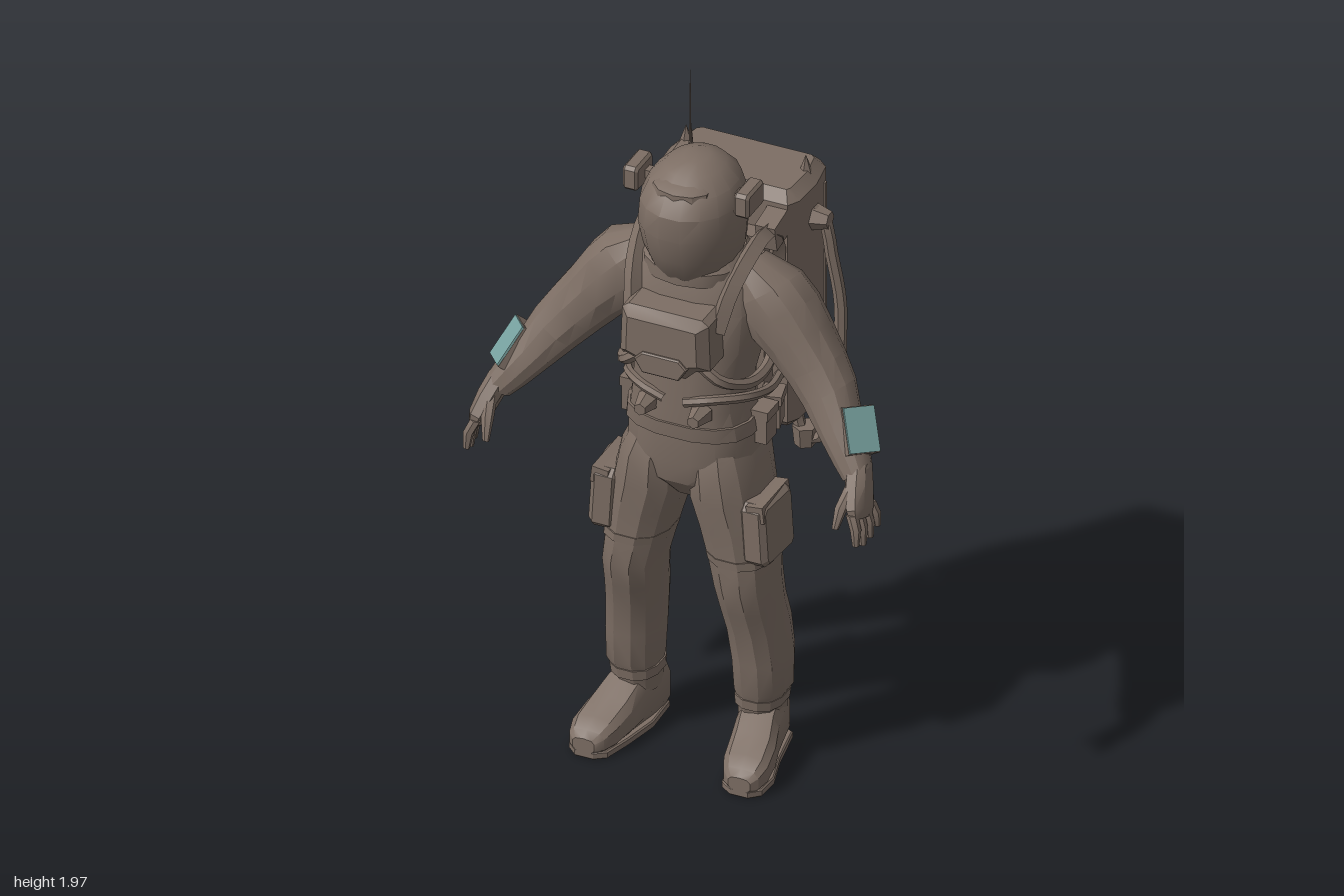
import * as THREE from 'three';
import { toCreasedNormals } from 'three/addons/utils/BufferGeometryUtils.js';

const V = (x, y, z) => new THREE.Vector3(x, y, z);
const UP = V(0, 1, 0), FRONT = V(0, 0, 1);

// Skin over rings [x, y, z, halfWidth, halfDepth] lying across one axis; power < 1 makes rings boxier
function loft(rings, axis = UP, ref = FRONT, sides = 12, power = 0.8) {
  const a = axis.clone().normalize();
  const v = ref.clone().addScaledVector(a, -ref.dot(a)).normalize();
  const u = v.clone().cross(a);
  const pos = [], idx = [];
  const sp = (t) => Math.sign(t) * Math.pow(Math.abs(t), power);
  for (const [x, y, z, w, d] of rings) {
    for (let j = 0; j < sides; j++) {
      const t = ((j + 0.5) / sides) * Math.PI * 2;
      const p = V(x, y, z).addScaledVector(u, w * sp(Math.cos(t))).addScaledVector(v, d * sp(Math.sin(t)));
      pos.push(p.x, p.y, p.z);
    }
  }
  const n = rings.length;
  for (let i = 0; i < n - 1; i++) {
    for (let j = 0; j < sides; j++) {
      const k = (j + 1) % sides, r = i * sides, s = r + sides;
      idx.push(r + j, r + k, s + k, r + j, s + k, s + j);
    }
  }
  // end caps
  for (const [i, flip] of [[0, true], [n - 1, false]]) {
    const c = pos.length / 3, r = i * sides;
    pos.push(rings[i][0], rings[i][1], rings[i][2]);
    for (let j = 0; j < sides; j++) {
      const k = (j + 1) % sides;
      idx.push(c, r + (flip ? k : j), r + (flip ? j : k));
    }
  }
  const g = new THREE.BufferGeometry();
  g.setAttribute('position', new THREE.Float32BufferAttribute(pos, 3));
  g.setIndex(idx);
  return g;
}

const box = (w, h, d, x, y, z, rx = 0, ry = 0, rz = 0) =>
  new THREE.BoxGeometry(w, h, d).rotateX(rx).rotateY(ry).rotateZ(rz).translate(x, y, z);
const cone = (r, h, x, y, z, sides = 5) => new THREE.ConeGeometry(r, h, sides).translate(x, y + h / 2, z);
const tube = (pts, r, seg = 14, sides = 6) =>
  new THREE.TubeGeometry(new THREE.CatmullRomCurve3(pts.map((p) => V(...p))), seg, r, sides);

// Faceted chamfered plate: outline in x/y, front at z = depth
function plate(points, depth, bevel) {
  const s = new THREE.Shape(points.map((p) => new THREE.Vector2(...p)));
  return new THREE.ExtrudeGeometry(s, { depth, bevelThickness: bevel, bevelSize: bevel, bevelOffset: -bevel, bevelSegments: 1 });
}
const chamfered = (w, h, c) => [
  [-w + c, -h], [w - c, -h], [w, -h + c], [w, h - c], [w - c, h], [-w + c, h], [-w, h - c], [-w, -h + c]];

export function createModel() {
  const group = new THREE.Group();
  const suit = new THREE.MeshStandardMaterial({ color: 0x7d6e64 });
  suit.name = 'suit taupe';
  const teal = new THREE.MeshStandardMaterial({ color: 0x78a2a0 });
  teal.name = 'screen teal';

  function add(name, geo, mat = suit) {
    const m = new THREE.Mesh(toCreasedNormals(geo, 0.5), mat);
    m.name = name;
    group.add(m);
  }
  // Left part as given, right part mirrored with its corners reordered
  function pair(name, geo, mat = suit) {
    const l = geo.index ? geo.toNonIndexed() : geo;
    const r = l.clone().scale(-1, 1, 1);
    for (const attr of Object.values(r.attributes)) {
      const n = attr.itemSize, a = attr.array;
      for (let i = 0; i < a.length; i += 3 * n) {
        for (let k = 0; k < n; k++) [a[i + n + k], a[i + 2 * n + k]] = [a[i + 2 * n + k], a[i + n + k]];
      }
    }
    add(name + 'Left', l, mat);
    add(name + 'Right', r, mat);
  }

  // Helmet, brow ridge and side lamps
  add('helmet', loft([
    [0, 1.50, 0.08, 0.10, 0.09], [0, 1.55, 0.09, 0.115, 0.13], [0, 1.62, 0.10, 0.138, 0.152],
    [0, 1.70, 0.11, 0.148, 0.163], [0, 1.77, 0.11, 0.142, 0.160], [0, 1.82, 0.10, 0.122, 0.138],
    [0, 1.86, 0.095, 0.082, 0.095], [0, 1.88, 0.09, 0.035, 0.045]], UP, FRONT, 16, 0.95));
  add('brow', loft([[0, 1.808, 0.19, 0.088, 0.05], [0, 1.83, 0.18, 0.085, 0.06], [0, 1.845, 0.17, 0.06, 0.04]], UP, FRONT, 10, 1));
  pair('lamp', plate(chamfered(0.054, 0.038, 0.010), 0.03, 0.008).rotateY(Math.PI / 2).translate(0.152, 1.795, 0.112));
  pair('lampArm', box(0.03, 0.025, 0.03, 0.14, 1.79, 0.10));

  // Torso and collar
  add('torso', loft([
    [0, 0.83, 0.10, 0.05, 0.07], [0, 0.90, 0.10, 0.14, 0.130], [0, 0.97, 0.095, 0.188, 0.147],
    [0, 1.06, 0.095, 0.185, 0.142], [0, 1.14, 0.105, 0.17, 0.135], [0, 1.22, 0.10, 0.168, 0.132],
    [0, 1.33, 0.095, 0.195, 0.138], [0, 1.45, 0.09, 0.205, 0.140], [0, 1.54, 0.075, 0.18, 0.125],
    [0, 1.60, 0.075, 0.13, 0.11]], UP, FRONT, 16));
  add('collar', loft([[0, 1.53, 0.08, 0.15, 0.14], [0, 1.57, 0.08, 0.15, 0.14], [0, 1.60, 0.08, 0.125, 0.12]], UP, FRONT, 14, 0.9));

  // Chest control box with a stepped lower edge
  add('chestBox', plate([[-0.135, 1.33], [-0.09, 1.315], [-0.06, 1.285], [0.06, 1.285], [0.09, 1.315],
    [0.135, 1.33], [0.13, 1.47], [0.11, 1.485], [-0.11, 1.485], [-0.13, 1.47]], 0.085, 0.028).translate(0, 0, 0.205));
  add('chestPanel', plate([[-0.08, 1.335], [-0.055, 1.36], [0.055, 1.36], [0.08, 1.335], [0.055, 1.295], [-0.055, 1.295]], 0.010, 0.004)
    .translate(0, 0, 0.312));

  // Shoulder straps, waist hoses, front knobs and belt gear
  const strap = [[0.16, 1.40, -0.05], [0.17, 1.56, -0.06], [0.168, 1.62, 0.0], [0.162, 1.60, 0.09], [0.145, 1.53, 0.18], [0.125, 1.42, 0.23]];
  pair('strap', tube(strap, 0.027, 12, 4));
  pair('strapAnchor', box(0.06, 0.08, 0.10, 0.165, 1.61, -0.05, 0.2));
  pair('waistHose', tube([[0.09, 1.31, 0.25], [0.14, 1.27, 0.24], [0.185, 1.23, 0.16], [0.19, 1.22, 0.05], [0.17, 1.25, -0.06]], 0.017));
  pair('lowerHose', tube([[0.03, 1.17, 0.235], [0.1, 1.19, 0.228], [0.175, 1.18, 0.155], [0.19, 1.14, 0.03], [0.17, 1.12, -0.08]], 0.014));
  pair('frontKnob', new THREE.CylinderGeometry(0.018, 0.034, 0.06, 6).rotateX(Math.PI / 2).translate(0.08, 1.145, 0.255));
  add('belt', loft([[0, 1.05, 0.095, 0.192, 0.147], [0, 1.095, 0.10, 0.186, 0.145]], UP, FRONT, 16));
  for (const [i, z] of [-0.005, 0.075].entries()) {
    pair('beltPouch' + (i + 1), box(0.055, 0.10, 0.066, 0.19 - (i ? 0 : 0.008), 1.06, z, 0, i ? 0 : 0.25));
    pair('beltPouchFlap' + (i + 1), box(0.062, 0.028, 0.072, 0.192 - (i ? 0 : 0.008), 1.10, z, 0, i ? 0 : 0.25));
  }

  // Legs
  pair('leg', loft([
    [0.185, 0.12, 0.06, 0.062, 0.078], [0.188, 0.19, 0.065, 0.066, 0.082], [0.192, 0.22, 0.068, 0.078, 0.092],
    [0.190, 0.32, 0.068, 0.081, 0.100], [0.182, 0.42, 0.078, 0.081, 0.106], [0.174, 0.50, 0.100, 0.082, 0.108],
    [0.168, 0.58, 0.116, 0.086, 0.115], [0.155, 0.66, 0.110, 0.093, 0.118], [0.137, 0.76, 0.106, 0.103, 0.126],
    [0.115, 0.85, 0.100, 0.109, 0.140], [0.105, 0.95, 0.094, 0.097, 0.147], [0.09, 1.02, 0.095, 0.08, 0.12]], UP, FRONT, 12, 0.85));
  pair('thighPocket', plate(chamfered(0.085, 0.098, 0.02), 0.05, 0.015).rotateY(Math.PI / 2 - 0.08).rotateZ(0.06).translate(0.207, 0.775, 0.132));
  pair('pocketFlap', box(0.05, 0.05, 0.17, 0.234, 0.85, 0.132, 0, 0, 0.12));
  pair('thighStrap', loft([[0.157, 0.66, 0.110, 0.096, 0.121], [0.152, 0.685, 0.109, 0.098, 0.123]], UP, FRONT, 12, 0.85));

  // Boots, toes turned slightly outwards
  pair('boot', loft([
    [0.178, 0.075, -0.025, 0.045, 0.062], [0.180, 0.09, 0.0, 0.060, 0.088], [0.190, 0.095, 0.07, 0.066, 0.093],
    [0.202, 0.085, 0.13, 0.066, 0.081], [0.216, 0.068, 0.19, 0.070, 0.062], [0.227, 0.055, 0.26, 0.068, 0.048],
    [0.232, 0.045, 0.30, 0.054, 0.036], [0.234, 0.04, 0.318, 0.034, 0.022]], FRONT, UP, 10, 0.65));
  pair('sole', plate([[0.13, 0.015], [0.125, -0.10], [0.148, -0.21], [0.172, -0.295], [0.205, -0.318], [0.26, -0.318],
    [0.29, -0.29], [0.294, -0.22], [0.265, -0.12], [0.24, 0.015], [0.215, 0.026], [0.15, 0.026]], 0.016, 0.004)
    .rotateX(-Math.PI / 2).translate(0, 0.004, 0));
  pair('bootCuff', loft([[0.186, 0.17, 0.064, 0.071, 0.088], [0.188, 0.20, 0.065, 0.073, 0.09]], UP, FRONT, 12, 0.85));

  // Arms
  const armAxis = V(0.58, -0.78, 0.15);
  pair('arm', loft([
    [0.13, 1.55, 0.06, 0.06, 0.07], [0.19, 1.475, 0.06, 0.118, 0.105], [0.245, 1.42, 0.062, 0.112, 0.108],
    [0.30, 1.36, 0.07, 0.097, 0.100], [0.358, 1.292, 0.085, 0.088, 0.087], [0.406, 1.234, 0.105, 0.080, 0.080],
    [0.458, 1.162, 0.145, 0.064, 0.068], [0.507, 1.10, 0.180, 0.054, 0.056], [0.537, 1.062, 0.203, 0.044, 0.046]], armAxis, FRONT, 12, 0.9));

  // Forearm display: thick case with a thin screen on its outer face
  const along = V(0.048, -0.10, 0.06).normalize();
  const out = along.clone().cross(V(0.048, -0.01, -0.07)).normalize();
  const across = out.clone().cross(along);
  const onArm = (w, h, d, lift) => new THREE.BoxGeometry(w, h, d).translate(0, 0, lift)
    .applyMatrix4(new THREE.Matrix4().makeBasis(along, across, out).setPosition(0.534, 1.181, 0.170));
  pair('displayCase', onArm(0.132, 0.098, 0.05, -0.029));
  pair('displayScreen', onArm(0.127, 0.095, 0.006, -0.001), teal);

  // Hands: palm, four spread fingers and a thumb
  const handAxis = V(0.3, -0.9, 0.3);
  pair('palm', loft([[0.537, 1.085, 0.195, 0.034, 0.038], [0.553, 1.04, 0.228, 0.034, 0.050],
    [0.57, 0.99, 0.256, 0.029, 0.058], [0.577, 0.965, 0.263, 0.02, 0.05]], handAxis, FRONT, 8));
  for (let i = 0; i < 4; i++) {
    const z = 0.216 + i * 0.028, tip = 0.212 + i * 0.035, drop = [0.025, 0.006, 0, 0.014][i], x = 0.580 - i * 0.005;
    pair('finger' + (i + 1), loft([[x, 0.99, z, 0.016, 0.015], [x + 0.017, 0.945 + drop / 2, (z + tip) / 2 + 0.003, 0.015, 0.014],
      [x + 0.02, 0.89 + drop, tip, 0.009, 0.009]], V(0.1, -1, 0.1), FRONT, 6));
  }
  pair('thumb', loft([[0.545, 1.05, 0.25, 0.02, 0.018], [0.532, 1.0, 0.298, 0.017, 0.016], [0.525, 0.945, 0.322, 0.009, 0.009]],
    V(0, -1, 0.4), FRONT, 6));

  // Backpack body, extruded upwards from its plan outline
  add('backpack', plate([[-0.195, 0.075], [0.195, 0.075], [0.215, 0.11], [0.22, 0.21], [0.205, 0.30],
    [0.175, 0.326], [-0.175, 0.326], [-0.205, 0.30], [-0.22, 0.21], [-0.215, 0.11]], 0.70, 0.03)
    .rotateX(-Math.PI / 2).translate(0, 0.97, 0));
  add('packMount', box(0.3, 0.5, 0.08, 0, 1.33, -0.06));
  // Back panel with raised slats and a lower seam
  add('backPanel', plate(chamfered(0.168, 0.33, 0.02), 0.010, 0.004).translate(0, 1.32, -0.329));
  for (const [i, [y, h]] of [[1.585, 0.02], [1.54, 0.03], [1.41, 0.035], [1.37, 0.016], [1.17, 0.014]].entries())
    add('backSlat' + (i + 1), box(0.30, h, 0.012, 0, y, -0.331, 0.25));
  add('backLatch', box(0.018, 0.11, 0.012, -0.05, 1.07, -0.331));
  pair('packRim', box(0.014, 0.62, 0.012, 0.206, 1.32, -0.285));

  // Side hoses, their fittings, top spikes and the antenna
  pair('sideHose', tube([[0.19, 1.60, -0.2], [0.245, 1.57, -0.2], [0.27, 1.46, -0.2], [0.295, 1.32, -0.2], [0.30, 1.18, -0.19],
    [0.305, 1.06, -0.18], [0.275, 0.93, -0.155], [0.235, 0.88, -0.145], [0.20, 0.92, -0.145], [0.19, 1.0, -0.145]], 0.018, 22));
  pair('hoseFitting', new THREE.CylinderGeometry(0.02, 0.045, 0.1, 6).rotateZ(-Math.PI / 2).translate(0.255, 1.10, -0.20));
  pair('hoseSocket', new THREE.CylinderGeometry(0.025, 0.042, 0.06, 6).rotateZ(-Math.PI / 2).translate(0.235, 1.57, -0.20));
  pair('hoseElbow', new THREE.CylinderGeometry(0.036, 0.03, 0.06, 6).translate(0.215, 0.90, -0.145));
  pair('topSpike', cone(0.026, 0.075, 0.18, 1.67, -0.225));
  add('antennaBase', cone(0.012, 0.12, -0.137, 1.68, -0.165));
  add('antenna', new THREE.CylinderGeometry(0.001, 0.004, 0.29, 5).translate(-0.137, 1.825, -0.16));

  return group;
}
